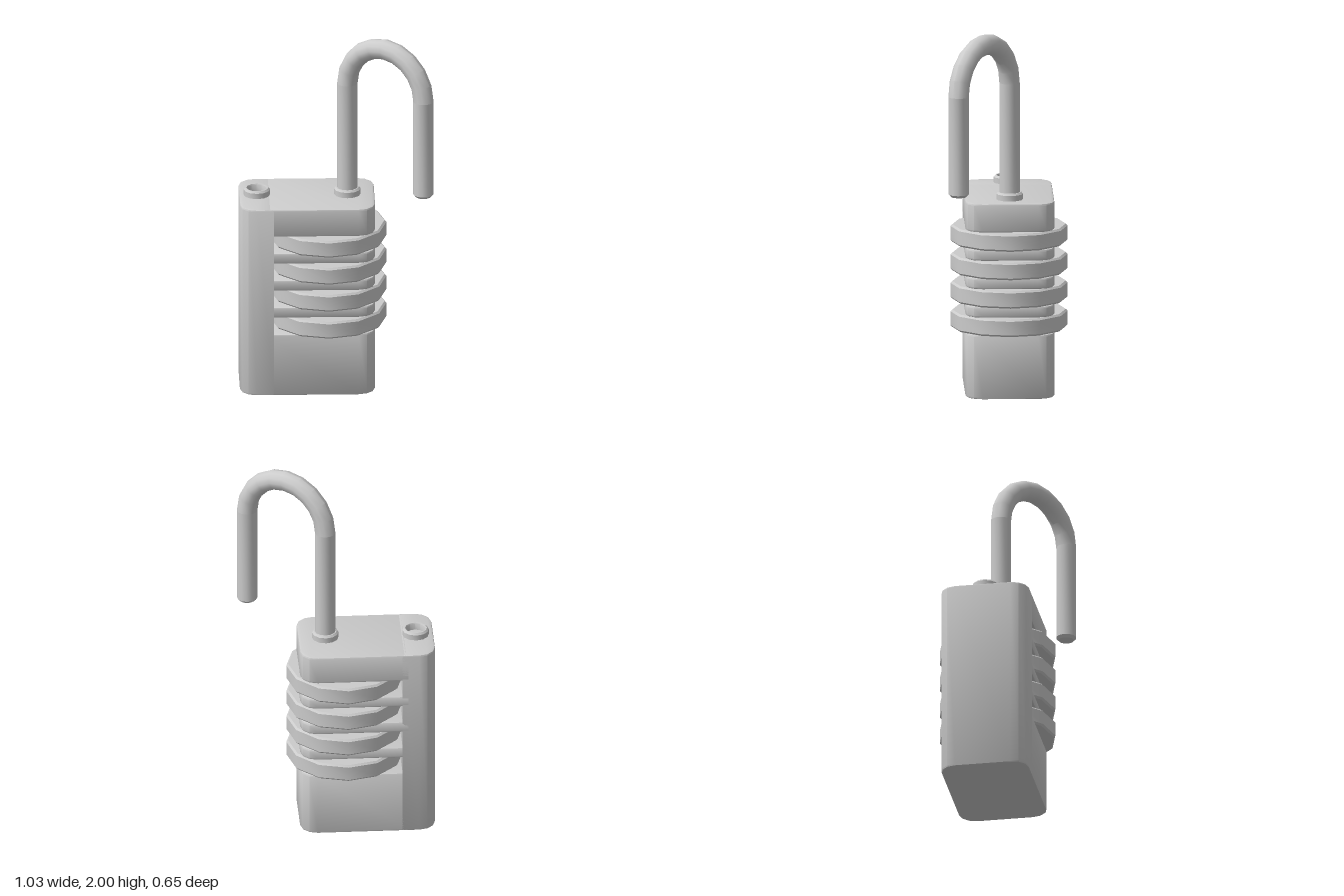
import * as THREE from 'three';
import { toCreasedNormals } from 'three/addons/utils/BufferGeometryUtils.js';

const material = new THREE.MeshStandardMaterial({ color: 0xcccccc });
const HALF_DEPTH = 0.239, TOP = 1.065, CENTER_Z = -0.013;

function addMesh(parent, name, geometry, crease = 0.6) {
  const mesh = new THREE.Mesh(toCreasedNormals(geometry, crease), material);
  mesh.name = name;
  parent.add(mesh);
  return mesh;
}

// Upright slab from y0 to y1 with softened rims; each end in x is rounded by its own radius
function slab(x0, x1, y0, y1, leftRadius, rightRadius) {
  const bevel = 0.01, points = [];
  const corners = [
    [x1, 1, rightRadius, 0], [x0, 1, leftRadius, 1],
    [x0, -1, leftRadius, 2], [x1, -1, rightRadius, 3],
  ];
  for (const [x, side, r, quarter] of corners) {
    const cx = x + (x === x1 ? -r : r), cz = side * (HALF_DEPTH - r);
    const steps = r > 0 ? 3 : 0;
    for (let i = 0; i <= steps; i++) {
      const a = (quarter + (steps ? i / steps : 0)) * Math.PI / 2;
      points.push(new THREE.Vector2(cx + r * Math.cos(a), cz + r * Math.sin(a)));
    }
  }
  const geometry = new THREE.ExtrudeGeometry(new THREE.Shape(points), {
    depth: y1 - y0 - 2 * bevel, bevelThickness: bevel, bevelSize: bevel,
    bevelOffset: -bevel, bevelSegments: 2,
  });
  return geometry.rotateX(-Math.PI / 2).translate(0, y0 + bevel, 0);
}

// Twelve-sided turned part from [radius, y] pairs
function turned(profile) {
  return new THREE.LatheGeometry(profile.map(([r, y]) => new THREE.Vector2(r, y)), 12);
}

export function createModel() {
  const model = new THREE.Group();
  model.name = 'combinationPadlock';

  // Body: solid column with plates, leaving four open slots
  const body = new THREE.Group();
  body.name = 'body';
  body.position.z = CENTER_Z;
  model.add(body);
  addMesh(body, 'bodyColumn', slab(-0.52, -0.34, 0, TOP, 0.09, 0));

  const dialHeight = 0.095, pitch = 0.155, firstDial = 0.35;
  let plateBottom = 0;
  for (let i = 0; i <= 4; i++) {
    const plateTop = i < 4 ? firstDial + i * pitch : TOP;
    addMesh(body, 'bodyPlate' + (i + 1), slab(-0.37, 0.205, plateBottom, plateTop, 0, 0.09));
    plateBottom = plateTop + dialHeight;
  }

  // Number dials in the slots
  for (let i = 0; i < 4; i++) {
    const R = 0.314, b = 0.01, h = dialHeight;
    const dial = addMesh(body, 'dial' + (i + 1), turned([
      [0, 0], [R - b, 0], [R, b], [R, h - b], [R - b, h], [0, h],
    ]));
    dial.position.set(-0.045, firstDial + i * pitch, 0);
  }

  // Hollow collars around the two shackle holes
  for (const [name, x] of [['emptyCollar', -0.425], ['postCollar', 0.06]]) {
    const collar = addMesh(body, name, turned([
      [0.071, -0.01], [0.071, 0.03], [0.062, 0.04], [0.056, 0.04], [0.053, 0.035], [0.053, -0.01],
    ]));
    collar.position.set(x, TOP, 0);
  }

  // Open shackle, swung out towards the front
  const shackle = new THREE.Group();
  shackle.name = 'shackle';
  shackle.position.set(0.26, 0, 0.13);
  shackle.rotation.y = -Math.atan2(0.285, 0.4);
  model.add(shackle);
  const bend = 0.2455, wire = 0.055, bendY = 1.7;
  const arch = addMesh(shackle, 'shackleBend', new THREE.TorusGeometry(bend, wire, 12, 10, Math.PI));
  arch.position.y = bendY;
  const leg = (name, x, bottom) => {
    const mesh = addMesh(shackle, name, turned([
      [0, bottom], [wire - 0.014, bottom], [wire, bottom + 0.014], [wire, bendY],
    ]));
    mesh.position.x = x;
  };
  leg('fixedLeg', -bend, 1.0);
  leg('freeLeg', bend, 1.155);

  return model;
}
